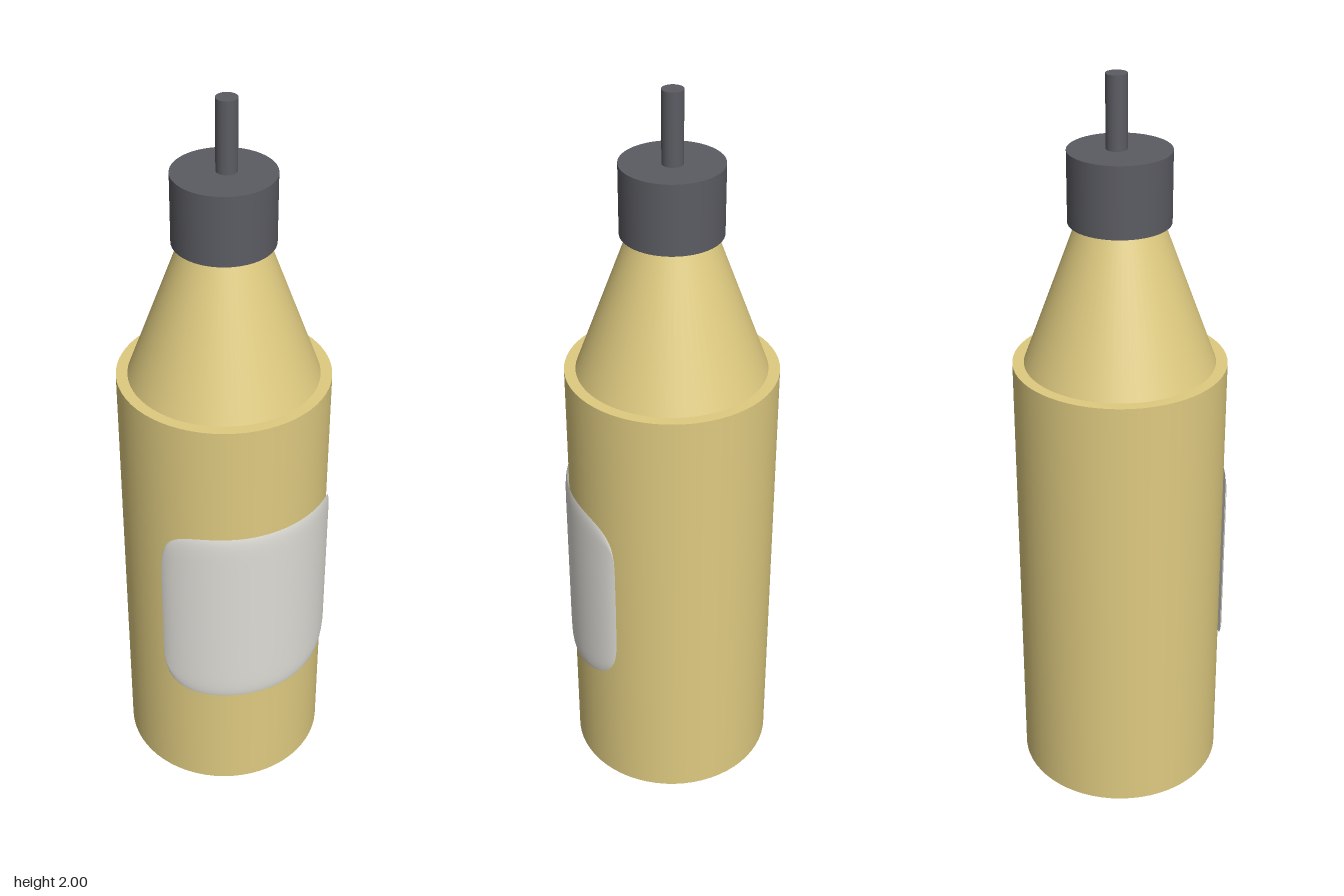
import * as THREE from 'three';

const AXIS_Z = -0.0065;

function material(name, color) {
  const m = new THREE.MeshStandardMaterial({ color });
  m.name = name;
  return m;
}

// Upright cylinder or cone between two heights
function turned(name, rTop, rBottom, y0, y1, mat, x = 0, z = AXIS_Z) {
  const mesh = new THREE.Mesh(new THREE.CylinderGeometry(rTop, rBottom, y1 - y0, 64), mat);
  mesh.name = name;
  mesh.position.set(x, (y0 + y1) / 2, z);
  return mesh;
}

// Rounded rectangle wrapped around the body, its rim rolling inward
function labelGeometry() {
  const geo = new THREE.PlaneGeometry(2, 2, 48, 24);
  const p = geo.attributes.position;
  const left = -1.007, right = 1.172;
  for (let i = 0; i < p.count; i++) {
    const t = Math.sin(p.getX(i) * Math.PI / 2);
    const v = Math.sin(p.getY(i) * Math.PI / 2);
    const outline = Math.pow(Math.max(0, 1 - Math.pow(Math.abs(t), 6)), 1 / 6);
    const half = 0.285 - 0.022 * Math.max(0, t) ** 2;
    const rim = Math.max(Math.abs(t), Math.abs(v)) ** 16;
    const r = 0.2905 - 0.005 * rim - 0.0015 * t;
    const a = (left + right) / 2 + t * (right - left) / 2;
    p.setXYZ(i, r * Math.sin(a), 0.63 + v * outline * half, r * Math.cos(a));
  }
  geo.computeVertexNormals();
  return geo;
}

export function createModel() {
  const group = new THREE.Group();
  group.name = 'bottle';
  const tan = material('tan plastic', 0xdeca80);
  const dark = material('dark grey plastic', 0x5b5c62);
  const paper = material('label white', 0xdedcd6);
  paper.side = THREE.DoubleSide;

  // Bottle body and shoulder
  group.add(turned('body', 0.28, 0.28, 0, 1.25, tan));
  group.add(turned('shoulder', 0.11, 0.25, 1.25, 1.63, tan));

  // Cap and nozzle
  group.add(turned('cap', 0.131, 0.131, 1.63, 1.815, dark));
  group.add(turned('nozzle', 0.027, 0.027, 1.815, 2, dark, 0.008, -0.009));

  // Wrapped label
  const label = new THREE.Mesh(labelGeometry(), paper);
  label.name = 'label';
  label.position.z = AXIS_Z;
  group.add(label);
  return group;
}
